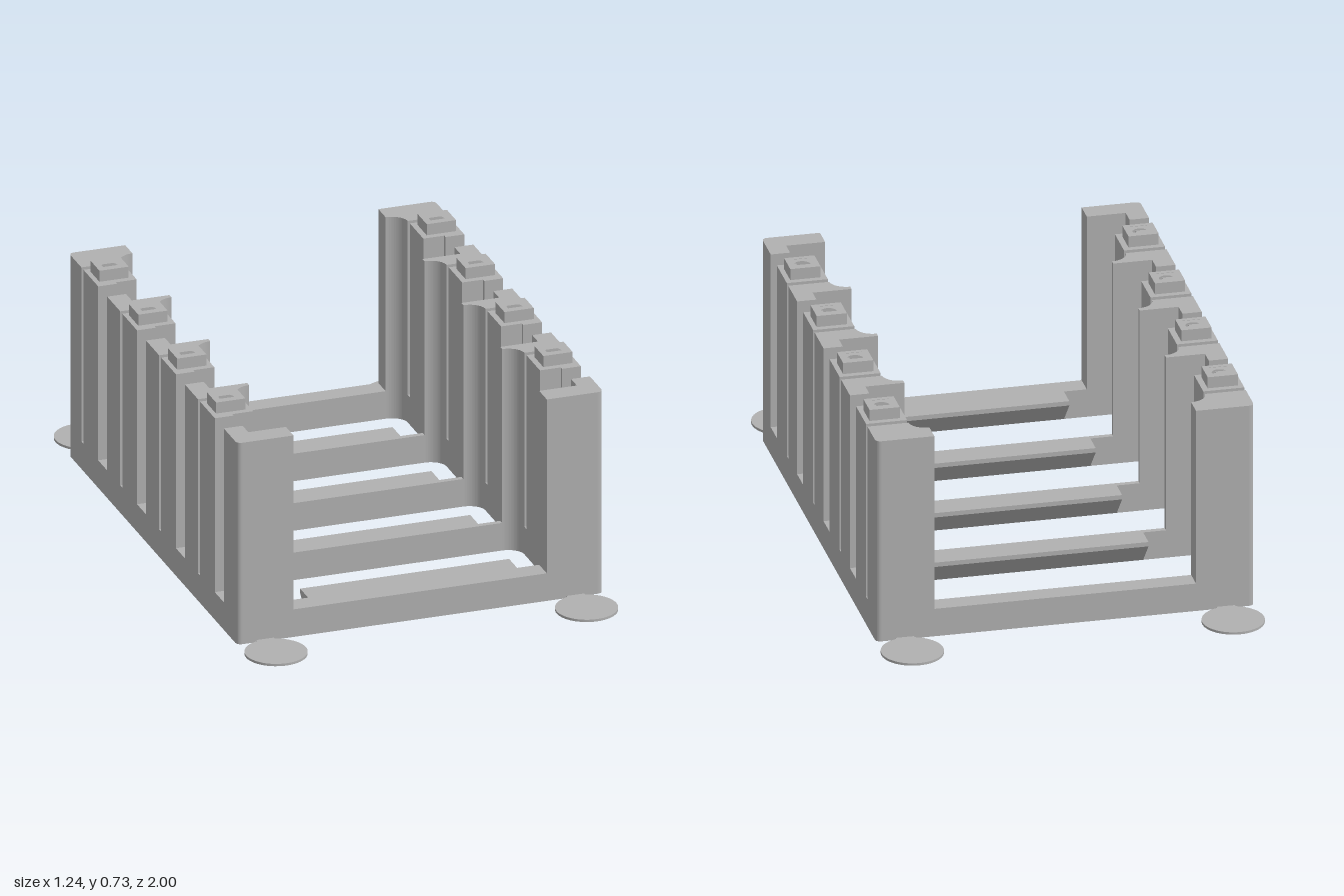
import * as THREE from 'three';

const OUT = 0.613, BLOCK = 0.48, WALL = 0.55, STUB = 0.424; // x of wall faces
const END = 0.795, BASE = 0.095, TOP = 0.694, PEG_TOP = 0.732;
const PITCH = 0.367, FIRST = -0.593, PEG_X = 0.548;
const pegZ = (k) => FIRST + k * PITCH;

const grey = new THREE.MeshStandardMaterial({ color: 0xb0b0b0 });
grey.name = 'grey plastic';

// Plan drawing: shape coordinates are (x, -z), extruded upward from y0 to y1
function slab(name, shape, y0, y1) {
  const g = new THREE.ExtrudeGeometry(shape, { depth: y1 - y0, bevelEnabled: false, curveSegments: 16 });
  g.rotateX(-Math.PI / 2);
  g.translate(0, y0, 0);
  const mesh = new THREE.Mesh(g, grey);
  mesh.name = name;
  return mesh;
}

function outline(points, path = new THREE.Shape()) {
  points.forEach(([x, z], i) => (i ? path.lineTo(x, -z) : path.moveTo(x, -z)));
  return path;
}

function rect(x, z, w, d, path) {
  return outline([[x - w / 2, z - d / 2], [x + w / 2, z - d / 2], [x + w / 2, z + d / 2], [x - w / 2, z + d / 2]], path).closePath();
}

function circle(x, z, r) {
  const p = new THREE.Path();
  p.absarc(x, -z, r, 0, Math.PI * 2, true);
  return p;
}

// Rounded inner corner between cross bar and wall, from (STUB, z0) to (BLOCK, z1)
function fillet(path, s, z0, z1, reverse = false) {
  const a = [s * STUB, -z0], b = [s * BLOCK, -z1];
  const ca = [s * (STUB + 0.55 * (BLOCK - STUB)), -z0];
  const cb = [s * BLOCK, -(z1 + 0.55 * (z0 - z1))];
  if (reverse) path.bezierCurveTo(...cb, ...ca, ...a);
  else path.bezierCurveTo(...ca, ...cb, ...b);
}

// Rounded rectangle outline of the base with four open bays
function basePlan(holeRadius) {
  const r = 0.02, shape = new THREE.Shape();
  shape.moveTo(-OUT + r, -END);
  shape.lineTo(OUT - r, -END).quadraticCurveTo(OUT, -END, OUT, -END + r);
  shape.lineTo(OUT, END - r).quadraticCurveTo(OUT, END, OUT - r, END);
  shape.lineTo(-OUT + r, END).quadraticCurveTo(-OUT, END, -OUT, END - r);
  shape.lineTo(-OUT, -END + r).quadraticCurveTo(-OUT, -END, -OUT + r, -END);
  for (let k = 0; k < 4; k++) {
    const p = pegZ(k), bay = new THREE.Path();
    outline([[-STUB, p - 0.134], [STUB, p - 0.134]], bay);
    fillet(bay, 1, p - 0.134, p - 0.083);
    [[BLOCK, 0.064], [WALL, 0.064], [WALL, 0.215], [-WALL, 0.215], [-WALL, 0.064], [-BLOCK, 0.064], [-BLOCK, -0.083]]
      .forEach(([x, dz]) => bay.lineTo(x, -(p + dz)));
    fillet(bay, -1, p - 0.134, p - 0.083, true);
    shape.holes.push(bay);
    for (const s of [-1, 1]) shape.holes.push(circle(s * PEG_X, p, holeRadius));
  }
  return shape;
}

// Upright at each cross bar; the first and last carry the rounded outer corners
function barPost(s, k) {
  const p = pegZ(k), r = 0.02, shape = new THREE.Shape();
  const start = k === 0 ? -END : p - 0.152;
  if (k === 0) {
    shape.moveTo(s * OUT, END - r);
    shape.quadraticCurveTo(s * OUT, END, s * (OUT - r), END);
  } else {
    outline([[s * OUT, p - 0.206], [s * WALL, p - 0.206], [s * WALL, start]], shape);
  }
  shape.lineTo(s * STUB, -start);
  if (k === 4) {
    shape.lineTo(s * STUB, -END);
    shape.lineTo(s * (OUT - r), -END);
    shape.quadraticCurveTo(s * OUT, -END, s * OUT, -END + r);
  } else {
    shape.lineTo(s * STUB, -(p - 0.134));
    fillet(shape, s, p - 0.134, p - 0.083);
    shape.lineTo(s * OUT, -(p - 0.083));
  }
  return slab('barPost', shape, BASE, TOP);
}

// Upright with a bore and a square stacking peg on top
function pegPost(s, k) {
  const group = new THREE.Group(), p = pegZ(k);
  group.name = 'pegPost';
  const post = outline([[OUT, -0.063], [BLOCK, -0.063], [BLOCK, 0.064], [WALL, 0.064], [WALL, 0.076], [OUT, 0.076]]
    .map(([x, dz]) => [s * x, p + dz]));
  post.holes.push(circle(s * PEG_X, p, 0.026));
  const lower = rect(s * PEG_X, p, 0.098, 0.086);
  lower.holes.push(circle(s * PEG_X, p, 0.026));
  const rim = rect(s * PEG_X, p, 0.098, 0.086);
  rim.holes.push(rect(s * PEG_X, p, 0.056, 0.056, new THREE.Path()));
  group.add(
    slab('post', post, BASE, TOP),
    slab('peg', lower, TOP, PEG_TOP - 0.008),
    slab('pegRim', rim, PEG_TOP - 0.008, PEG_TOP),
  );
  return group;
}

// Ledge with a sloping underside behind each cross bar
function ledge(k) {
  const z = pegZ(k) + 0.215, w = 0.7;
  const profile = new THREE.Shape([[0, 0], [0, BASE], [0.075, BASE], [0.075, BASE - 0.015]].map(([a, b]) => new THREE.Vector2(a, b)));
  const g = new THREE.ExtrudeGeometry(profile, { depth: w, bevelEnabled: false });
  g.rotateY(Math.PI / 2); // profile x becomes -z
  g.translate(-w / 2, 0, z);
  const mesh = new THREE.Mesh(g, grey);
  mesh.name = 'ledge';
  return mesh;
}

// Thin round corner foot with its connecting tab
function cornerFoot(s, t) {
  const group = new THREE.Group();
  group.name = 'cornerFoot';
  const disc = new THREE.Mesh(new THREE.CylinderGeometry(0.1, 0.1, 0.008, 48), grey);
  disc.name = 'disc';
  disc.position.set(s * 0.52, 0.004, t * 0.9);
  group.add(disc, slab('tab', rect(s * 0.52, t * 0.805, 0.06, 0.024), 0, 0.0075));
  return group;
}

export function createModel() {
  const model = new THREE.Group();
  model.name = 'stackingRack';
  // Base frame, with wider sockets on its underside
  model.add(slab('baseLower', basePlan(0.034), 0, 0.045), slab('baseUpper', basePlan(0.026), 0.045, BASE));
  for (let k = 0; k < 4; k++) model.add(ledge(k));
  for (const s of [-1, 1]) {
    for (let k = 0; k < 5; k++) model.add(barPost(s, k));
    for (let k = 0; k < 4; k++) model.add(pegPost(s, k));
    for (const t of [-1, 1]) model.add(cornerFoot(s, t));
  }
  return model;
}
